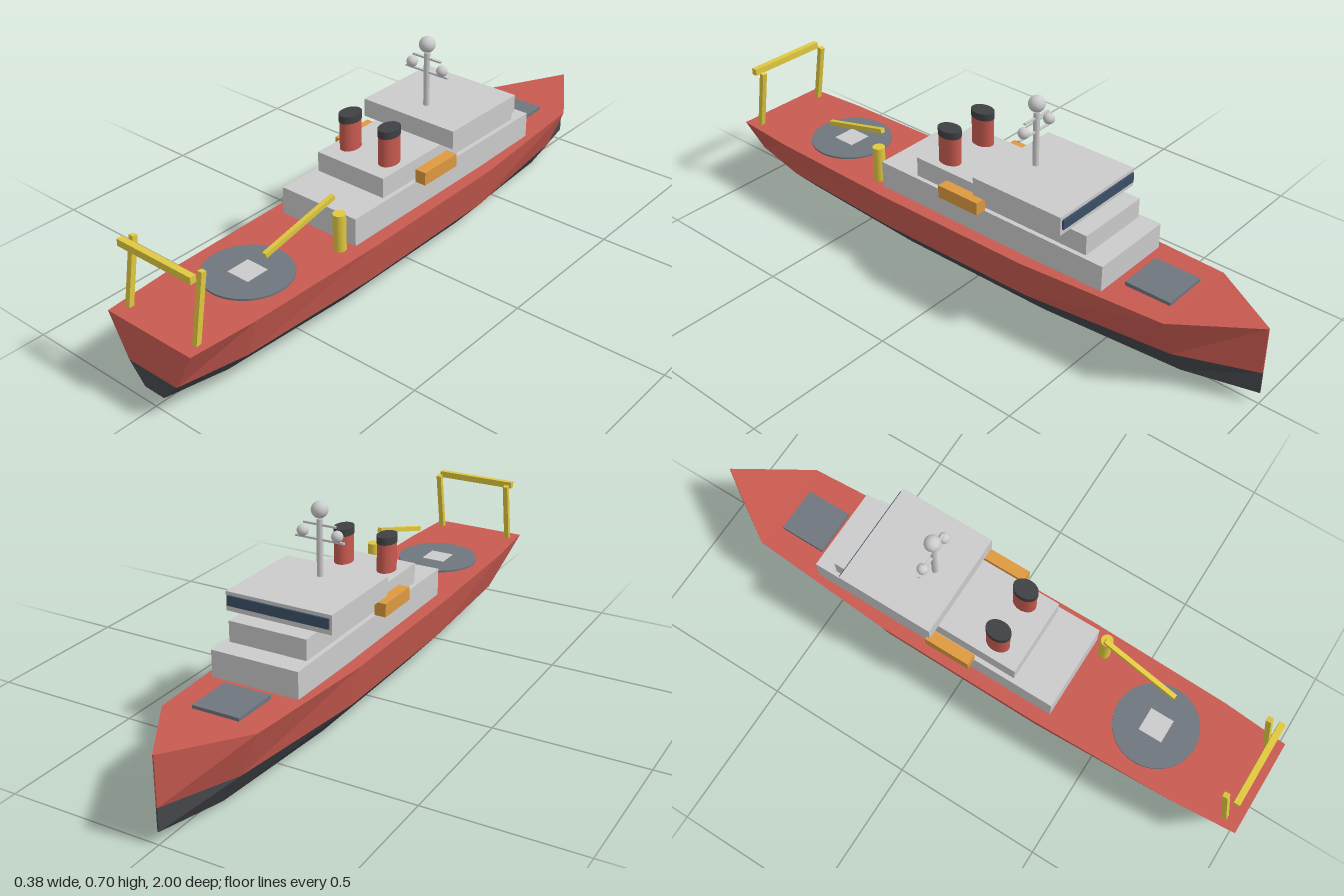
import * as THREE from 'three';

const RED = 0xc85a50, BLACK = 0x45484d, CAP = 0x404144, YELLOW = 0xe0c840,
  ORANGE = 0xdd9940, GREY = 0x70767d, GLASS = 0x3b5068, WHITE = 0xcccccc;

function add(parent, name, geometry, color, x = 0, y = 0, z = 0, flat = false) {
  const material = new THREE.MeshStandardMaterial({ color, flatShading: flat });
  const mesh = new THREE.Mesh(geometry, material);
  mesh.name = name;
  mesh.position.set(x, y, z);
  parent.add(mesh);
  return mesh;
}

// Box given by its extents along each axis
function block(parent, name, color, [x0, x1], [y0, y1], [z0, z1]) {
  return add(parent, name, new THREE.BoxGeometry(x1 - x0, y1 - y0, z1 - z0), color,
    (x0 + x1) / 2, (y0 + y1) / 2, (z0 + z1) / 2);
}

// Square bar running between two points
function bar(parent, name, color, from, to, w) {
  const a = new THREE.Vector3(...from), b = new THREE.Vector3(...to);
  const mesh = add(parent, name, new THREE.BoxGeometry(w, w, a.distanceTo(b)), color);
  mesh.position.copy(a).add(b).multiplyScalar(0.5);
  mesh.lookAt(b);
  return mesh;
}

// Skin over four-point sections ordered from stern to bow, closed at both ends
function skin(sections) {
  const pos = [];
  const quad = (a, b, c, d) => pos.push(...a, ...b, ...c, ...a, ...c, ...d);
  for (let i = 0; i < sections.length - 1; i++) {
    const s = sections[i], t = sections[i + 1];
    for (let j = 0; j < 3; j++) quad(s[j], t[j], t[j + 1], s[j + 1]);
  }
  quad(...sections[0]);
  quad(...[...sections[sections.length - 1]].reverse());
  const g = new THREE.BufferGeometry();
  g.setAttribute('position', new THREE.Float32BufferAttribute(pos, 3));
  g.computeVertexNormals();
  return g;
}

export function createModel() {
  const ship = new THREE.Group();
  ship.name = 'ship';

  // Hull stations: z, deck half width, deck y, waterline half width, keel half width, keel y
  const W = 0.112;
  const stations = [
    [1, 0.163, 0.245, 0.095, 0.038, 0.048],
    [0.78, 0.18, 0.245, 0.14, 0.055, 0.02],
    [0.3, 0.191, 0.245, 0.163, 0.062, 0],
    [-0.27, 0.187, 0.245, 0.158, 0.06, 0],
    [-0.76, 0.156, 0.255, 0.1, 0.035, 0.012],
    [-1, 0.002, 0.268, 0.002, 0.002, 0.04],
  ];
  add(ship, 'upperHull', skin(stations.map(([z, d, yd, w]) =>
    [[w, W, z], [d, yd, z], [-d, yd, z], [-w, W, z]])), RED, 0, 0, 0, true);
  add(ship, 'lowerHull', skin(stations.map(([z, , , w, k, yk]) =>
    [[-w, W, z], [-k, yk, z], [k, yk, z], [w, W, z]])), BLACK, 0, 0, 0, true);

  // Superstructure
  block(ship, 'lowerDeckhouse', WHITE, [-0.145, 0.145], [0.24, 0.336], [-0.54, 0.335]);
  block(ship, 'upperDeckhouse', WHITE, [-0.13, 0.13], [0.336, 0.402], [-0.47, 0.192]);
  block(ship, 'bridge', WHITE, [-0.178, 0.178], [0.402, 0.463], [-0.412, -0.083]);
  block(ship, 'bridgeWindows', GLASS, [-0.17, 0.17], [0.42, 0.452], [-0.418, -0.405]);

  // Deck fittings
  block(ship, 'foreHatch', GREY, [-0.077, 0.077], [0.24, 0.265], [-0.73, -0.575]);
  add(ship, 'landingPad', new THREE.CylinderGeometry(0.137, 0.137, 0.01, 40), GREY, 0, 0.246, 0.633);
  block(ship, 'padMarking', WHITE, [-0.04, 0.04], [0.247, 0.253], [0.593, 0.673]);

  // Oval funnels and lifeboats on both sides
  for (const s of [-1, 1]) {
    const funnel = new THREE.Group();
    funnel.name = 'funnel';
    funnel.position.set(s * 0.077, 0.402, 0.1);
    funnel.scale.z = 1.36;
    add(funnel, 'funnelBody', new THREE.CylinderGeometry(0.029, 0.029, 0.096, 24), RED, 0, 0.048);
    add(funnel, 'funnelCap', new THREE.CylinderGeometry(0.0305, 0.0305, 0.024, 24), CAP, 0, 0.106);
    ship.add(funnel);
    const boat = block(ship, 'lifeboat', ORANGE, [0.143, 0.181], [0.337, 0.38], [-0.1, 0.056]);
    boat.position.x *= s;
  }

  // Mast with yards and radar domes
  const mast = new THREE.Group();
  mast.name = 'mast';
  mast.position.z = -0.177;
  ship.add(mast);
  add(mast, 'mastPole', new THREE.CylinderGeometry(0.01, 0.01, 0.183, 16), WHITE, 0, 0.552);
  for (const [y, half] of [[0.579, 0.083], [0.625, 0.055]])
    block(mast, 'yard', WHITE, [-half, half], [y - 0.003, y + 0.003], [-0.004, 0.004]);
  for (const [x, y, r] of [[0, 0.671, 0.026], [-0.059, 0.597, 0.018], [0.059, 0.597, 0.018]])
    add(mast, 'radarDome', new THREE.SphereGeometry(r, 24, 16), WHITE, x, y);

  // Deck crane
  add(ship, 'cranePost', new THREE.CylinderGeometry(0.02, 0.02, 0.123, 20), YELLOW, 0.119, 0.304, 0.375);
  bar(ship, 'craneBoom', YELLOW, [0.097, 0.415, 0.375], [0.08, 0.341, 0.64], 0.015);

  // Stern gantry
  for (const s of [-1, 1])
    bar(ship, 'gantryLeg', YELLOW, [s * 0.133, 0.243, 0.95], [s * 0.133, 0.455, 0.911], 0.017);
  block(ship, 'gantryBeam', YELLOW, [-0.142, 0.142], [0.44, 0.462], [0.939, 0.959]);

  return ship;
}
